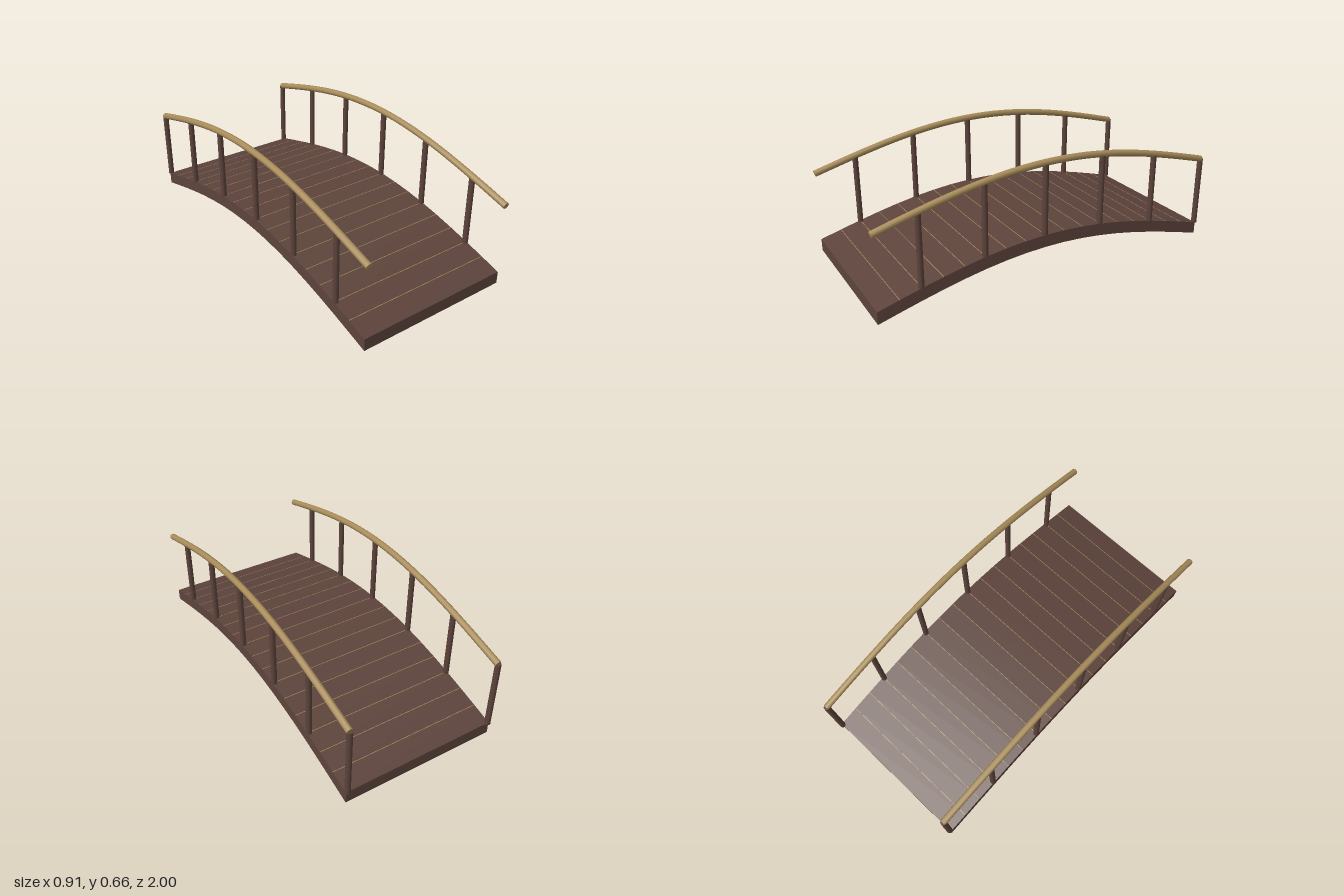
import * as THREE from 'three';

const PLANKS = 17, Z_FRONT = 1, Z_BACK = -0.984;
const DECK_HALF = 0.445, THICK = 0.067, POST_X = 0.436, RAIL_RISE = 0.4;
const HALF = (Z_FRONT - Z_BACK) / 2, MID = (Z_FRONT + Z_BACK) / 2;

// arched walking surface
const zAt = (i) => Z_BACK + ((Z_FRONT - Z_BACK) * i) / PLANKS;
const topY = (z) => 0.069 + 0.175 * Math.cos(((z - MID) / HALF) * Math.PI / 2);

export function createModel() {
  const group = new THREE.Group();
  const wood = new THREE.MeshStandardMaterial({ color: 0x5d443c });
  wood.name = 'dark wood';
  const bamboo = new THREE.MeshStandardMaterial({ color: 0xa88c5a });
  bamboo.name = 'tan rail';

  const add = (name, geometry, material, parent = group) => {
    const mesh = new THREE.Mesh(geometry, material);
    mesh.name = name;
    parent.add(mesh);
    return mesh;
  };

  // deck: side profile with one flat segment per plank, extruded across the width
  const profile = [];
  for (let i = 0; i <= PLANKS; i++) profile.push(new THREE.Vector2(zAt(i), topY(zAt(i)) - THICK - 0.002));
  for (let i = PLANKS; i >= 0; i--) profile.push(new THREE.Vector2(zAt(i), topY(zAt(i))));
  const deck = new THREE.ExtrudeGeometry(new THREE.Shape(profile), { depth: DECK_HALF * 2, bevelEnabled: false });
  deck.rotateY(-Math.PI / 2).translate(DECK_HALF, 0, 0);
  add('deck', deck, wood);

  // fine seams between planks
  for (let i = 1; i < PLANKS; i++) {
    const z = zAt(i);
    const seam = add('plankSeam', new THREE.BoxGeometry(DECK_HALF * 2, 0.002, 0.003), bamboo);
    seam.position.set(0, topY(z), z);
    seam.rotation.x = -Math.atan2(topY(z + 0.01) - topY(z - 0.01), 0.02);
  }

  // curved handrail path, shared by both sides
  const path = new THREE.CatmullRomCurve3(
    Array.from({ length: PLANKS + 1 }, (_, i) => new THREE.Vector3(0, topY(zAt(i)) + RAIL_RISE, zAt(i)))
  );

  for (const side of [1, -1]) {
    const railing = new THREE.Group();
    railing.name = side > 0 ? 'leftRailing' : 'rightRailing';
    railing.position.x = side * POST_X;
    group.add(railing);

    add('handrail', new THREE.TubeGeometry(path, 34, 0.018, 10), bamboo, railing);
    // closed rail ends
    for (const t of [0, 1]) {
      const cap = add('railEnd', new THREE.CircleGeometry(0.018, 10), bamboo, railing);
      const dir = path.getTangentAt(t).multiplyScalar(t ? 1 : -1);
      cap.quaternion.setFromUnitVectors(new THREE.Vector3(0, 0, 1), dir);
      cap.position.copy(path.getPointAt(t));
    }

    // a post at every third plank, starting at the back edge
    for (let i = 0; i < PLANKS; i += 3) {
      const z = zAt(i);
      const post = add('post', new THREE.CylinderGeometry(0.016, 0.016, RAIL_RISE, 10), wood, railing);
      post.position.set(0, topY(z) + RAIL_RISE / 2, z);
    }
  }
  return group;
}
